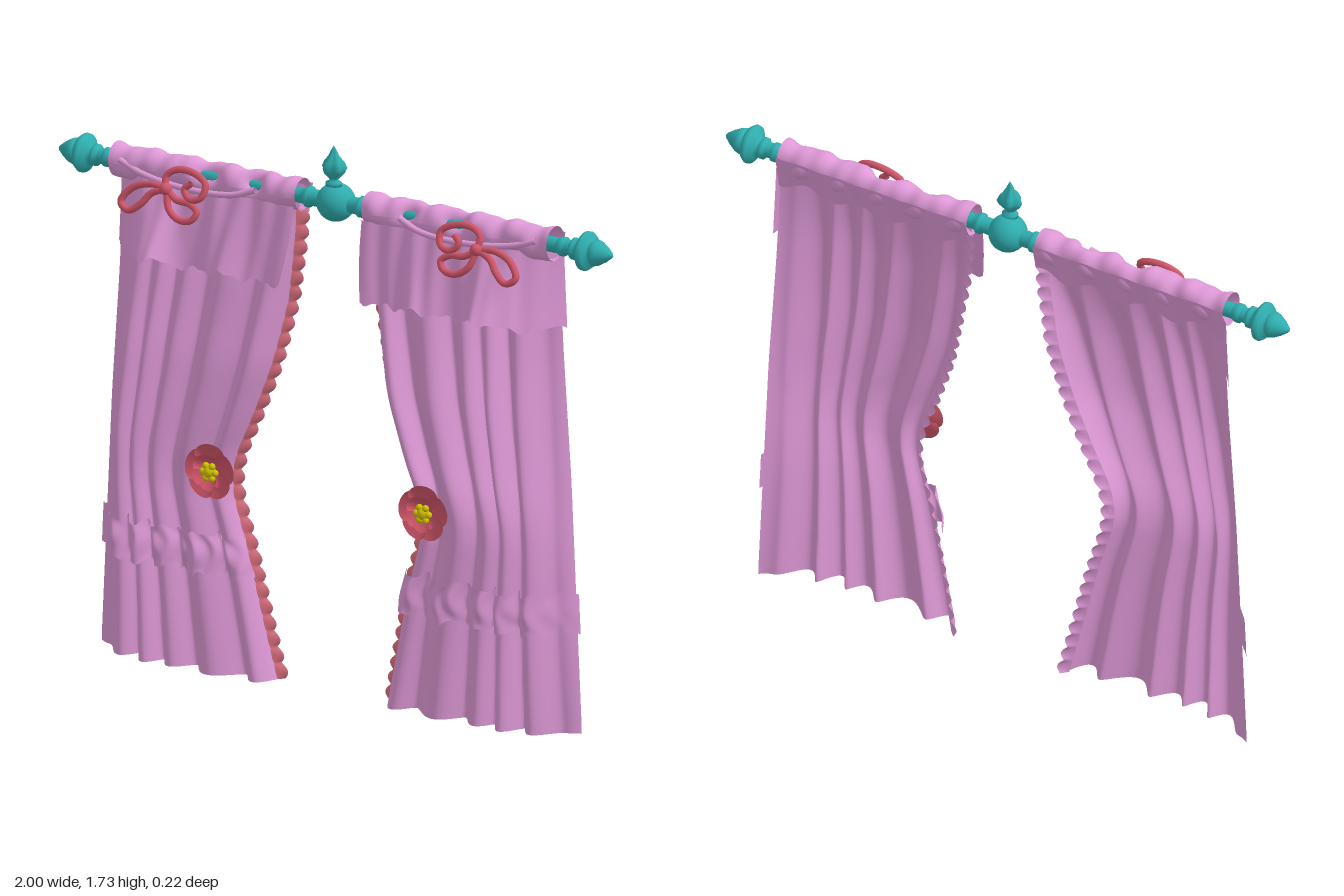
import * as THREE from 'three';

const mat = (name, color, side = THREE.FrontSide) => {
  const m = new THREE.MeshStandardMaterial({ color, side });
  m.name = name;
  return m;
};

// Smoothed lookup in a short list of [y, value] pairs, y falling
function profile(points) {
  const at = (y) => {
    if (y >= points[0][0]) return points[0][1];
    for (let i = 1; i < points.length; i++) {
      const [y0, a] = points[i - 1], [y1, b] = points[i];
      if (y >= y1) return a + (b - a) * (y0 - y) / (y0 - y1);
    }
    return points[points.length - 1][1];
  };
  return (y) => (at(y - 0.04) + at(y) + at(y + 0.04)) / 3;
}

// Grid surface from fn(u, v) -> [x, y, z]
function sheet(nu, nv, fn) {
  const pos = [], index = [];
  for (let j = 0; j <= nv; j++)
    for (let i = 0; i <= nu; i++) pos.push(...fn(i / nu, j / nv));
  for (let j = 0; j < nv; j++)
    for (let i = 0; i < nu; i++) {
      const a = j * (nu + 1) + i, b = a + nu + 1;
      index.push(a, b, a + 1, b, b + 1, a + 1);
    }
  const g = new THREE.BufferGeometry();
  g.setAttribute('position', new THREE.Float32BufferAttribute(pos, 3));
  g.setIndex(index);
  g.computeVertexNormals();
  return g;
}

const { sin, cos, abs, min, max, exp, sqrt, PI } = Math;
const ROD_Y = 1.545, ROD_Z = -0.05;
const bump = (x, centre, width) => exp(-(((x - centre) / width) ** 2));

// Curtain outline, depth and pleat size by height
const inner = profile([[1.5, 0.13], [1.4, 0.135], [1.2, 0.167], [1, 0.212], [0.8, 0.285], [0.7, 0.33], [0.6, 0.347], [0.5, 0.32], [0.4, 0.29], [0.2, 0.245], [0, 0.2], [-0.2, 0.155]]);
const outer = profile([[1.5, 0.785], [1.2, 0.8], [0.8, 0.828], [0.4, 0.847], [0, 0.866]]);
const base = profile([[1.52, -0.045], [1.28, 0], [1, 0.028], [0.7, 0.035], [0.4, 0.018], [0, 0.005]]);
const amp = profile([[1.52, 0.01], [1.28, 0.026], [1, 0.036], [0.75, 0.036], [0.62, 0.026], [0.4, 0.03], [0, 0.038]]);

// Broad rounded folds with narrow grooves
function pleat(u) {
  const w = PI * (5.2 * u + 0.22 * sin(8 * u + 1));
  return 1.9 * sqrt(sin(w) ** 2 + 0.03) - 1.05 + 0.18 * sin(23 * u);
}
const curl = (u, start = 0.75) => max(0, (u - start) / (1 - start)) ** 1.4;

// Both side edges of the cloth turn back
function clothPoint(u, y) {
  const x = inner(y) + (outer(y) - inner(y)) * u;
  const turn = 0.05 * max(0, 1 - u / 0.11) ** 1.3 * min(1, max(0, (1.55 - y) * 3));
  const z = base(y) + amp(y) * pleat(u + 0.012 * sin(4 * y)) - turn;
  return [x, y, z + (-0.082 - z) * curl(u)];
}

export function createModel() {
  const model = new THREE.Group();
  const cloth = mat('pinkCloth', 0xe09ad8, THREE.DoubleSide);
  const lace = mat('roseLace', 0xdf7282);
  const rose = mat('roseRed', 0xd2566a, THREE.DoubleSide);
  const teal = mat('tealMetal', 0x2fadae);
  const yellow = mat('yellowStamen', 0xd2c204);

  const add = (parent, name, geo, material) => {
    const m = new THREE.Mesh(geo, material);
    m.name = name;
    parent.add(m);
    return m;
  };
  const lathe = (pts, n) => new THREE.LatheGeometry(pts.map(([r, y]) => new THREE.Vector2(r, y)), n);

  // Rod, centre ball and its bud
  const rod = new THREE.Group();
  rod.name = 'curtainRod';
  rod.position.set(0, ROD_Y, ROD_Z);
  model.add(rod);
  add(rod, 'pole', new THREE.CylinderGeometry(0.024, 0.024, 1.7, 20), teal).rotation.z = PI / 2;
  add(rod, 'centreBall', new THREE.SphereGeometry(0.06, 28, 20), teal);
  const bud = lathe([[0, 0.05], [0.026, 0.055], [0.026, 0.066], [0.013, 0.072], [0.018, 0.08], [0.036, 0.098], [0.042, 0.112], [0.034, 0.13], [0.018, 0.148], [0.01, 0.165], [0, 0.182]], 32);
  const bp = bud.attributes.position;
  for (let i = 0; i < bp.count; i++) {
    // Twisted flutes on the bud
    const x = bp.getX(i), y = bp.getY(i), z = bp.getZ(i);
    const k = y > 0.075 ? 0.88 + 0.14 * cos(5 * Math.atan2(z, x) + 25 * y) : 1;
    bp.setX(i, x * k);
    bp.setZ(i, z * k * 0.85);
  }
  bud.computeVertexNormals();
  add(rod, 'topBud', bud, teal).position.z = 0.012;

  // Turned rod ends and centre collars
  const endShape = [[0.022, 0.8], [0.03, 0.815], [0.03, 0.828], [0.022, 0.835], [0.024, 0.85], [0.034, 0.858], [0.034, 0.868], [0.025, 0.876], [0.04, 0.884], [0.06, 0.898], [0.061, 0.908], [0.054, 0.918], [0.034, 0.922], [0.034, 0.93], [0.042, 0.936], [0.038, 0.95], [0.024, 0.974], [0.01, 0.992], [0, 1]];
  const collarShape = [[0.026, 0.05], [0.026, 0.084], [0.033, 0.09], [0.033, 0.1], [0.026, 0.106], [0.024, 0.12]];

  for (const s of [-1, 1]) {
    const side = s > 0 ? 'left' : 'right';
    add(rod, side + 'Finial', lathe(endShape, 28), teal).rotation.z = -s * PI / 2;
    add(rod, side + 'Collar', lathe(collarShape, 24), teal).rotation.z = -s * PI / 2;

    const panel = new THREE.Group();
    panel.name = side + 'Curtain';
    model.add(panel);
    const flip = ([x, y, z]) => [s * x, y, z];

    // Pleated main cloth
    add(panel, 'pleatedCloth', sheet(140, 60, (u, v) => flip(clothPoint(u, 1.53 * (1 - v)))), cloth);

    // Gathered pocket round the pole, pinched where the pole shows through
    add(panel, 'rodPocket', sheet(90, 36, (u, v) => {
      const x = 0.12 + 0.67 * u, a = 2 * PI * v;
      const gather = 0.004 * sin(47 * x + 2 * sin(a)) + 0.002 * sin(90 * x);
      const pinch = 0.044 * max(0, cos(a - 0.55)) ** 2 * (bump(x, 0.28, 0.033) + bump(x, 0.44, 0.042));
      const r = 0.049 + gather - pinch;
      return flip([x, ROD_Y + r * sin(a) * 1.05, ROD_Z + r * cos(a)]);
    }), cloth);

    // Scalloped hem flap behind the pocket
    add(panel, 'backFlap', sheet(80, 5, (u, v) => {
      const x = 0.12 + 0.67 * u;
      return flip([x, 1.57 - v * (0.1 + 0.015 * sin(34 * x)), -0.106 + 0.022 * v + 0.002 * sin(47 * x)]);
    }), cloth);

    // Flared valance with three deep folds, wrapped round the outer side
    add(panel, 'valance', sheet(120, 14, (u, v) => {
      const x = inner(1.52 - 0.24 * v) - 0.008 + (outer(1.52 - 0.24 * v) + 0.02 - inner(1.52 - 0.24 * v)) * u;
      const folds = 0.078 * bump(x, 0.6, 0.07) + 0.04 * bump(x, 0.35, 0.08) + 0.012 * bump(x, 0.15, 0.05);
      const y = 1.52 - v * (0.245 - 0.35 * folds + 0.008 * sin(38 * u) + 0.005 * sin(75 * u));
      const z = -0.004 + v * (0.037 + folds) + 0.004 * sin(50 * u) * (1 - 0.5 * v);
      return flip([x, y, z + (-0.09 - z) * curl(u, 0.82)]);
    }), cloth);

    // Gathered ruffle band
    add(panel, 'ruffleBand', sheet(160, 12, (u, v) => {
      const edge = abs(2 * v - 1) ** 3;
      const y = 0.445 - 0.125 * v + edge * (0.007 * sin(55 * u) + 0.004 * sin(97 * u));
      const [x, , z] = clothPoint(u, y);
      const gather = 0.007 * sin(70 * u + 2 * sin(4 * v)) * (0.3 + 0.7 * sin(PI * v)) * (1 - 0.8 * max(0, u - 0.3));
      const puff = 0.013 + 0.012 * sin(PI * v) + 0.008 * edge + gather;
      return flip([x + 0.012 * (2 * u - 1), y, z + puff * (1 - 0.9 * curl(u))]);
    }), cloth);

    // Scalloped lace down the inner edge, lined with cloth behind
    const edging = (depth) => sheet(3, 240, (u, v) => {
      const t = s > 0 ? 1 - u : u, y = 1.5 * (1 - v);
      const [x, , z] = clothPoint(0, y);
      const w = 0.014 + 0.016 * abs(sin(PI * y / 0.05));
      return flip([x + 0.006 - t * (w + 0.006) + depth, y, z + 0.009 - 0.022 * t - depth]);
    });
    add(panel, 'laceTrim', edging(0), lace);
    add(panel, 'laceLining', edging(0.003), cloth);

    // Cord bow, each strand a list of [x, y]
    const bow = new THREE.Group();
    bow.name = 'bow';
    panel.add(bow);
    const cord = (name, pts, r, material, lift = 0) => {
      const path = new THREE.CatmullRomCurve3(pts.map(([x, y]) =>
        new THREE.Vector3(s * x, y, 0.06 + lift - (y - 1.42) * 0.36)));
      add(bow, name, new THREE.TubeGeometry(path, 60, r, 8), material);
    };
    cord('outerLoop', [[0.56, 1.51], [0.62, 1.515], [0.68, 1.495], [0.712, 1.45], [0.68, 1.43], [0.64, 1.455], [0.61, 1.49], [0.56, 1.51]], 0.011, rose);
    cord('lowerCurl', [[0.56, 1.51], [0.54, 1.455], [0.5, 1.43], [0.455, 1.435], [0.44, 1.46], [0.47, 1.48], [0.52, 1.485], [0.56, 1.51]], 0.011, rose);
    cord('upperCurl', [[0.56, 1.51], [0.565, 1.55], [0.53, 1.572], [0.47, 1.57], [0.425, 1.545], [0.432, 1.505], [0.47, 1.495], [0.495, 1.52], [0.475, 1.54]], 0.011, rose, 0.006);
    const knot = add(bow, 'knot', new THREE.SphereGeometry(0.02, 14, 10), rose);
    knot.position.set(s * 0.56, 1.512, 0.034);
    cord('clothTie', [[0.26, 1.55], [0.33, 1.525], [0.43, 1.515], [0.57, 1.52], [0.67, 1.535], [0.75, 1.56]], 0.01, cloth, -0.016);

    // Tieback flower
    const flower = new THREE.Group();
    flower.name = 'flower';
    flower.position.set(s > 0 ? 0.4 : -0.37, 0.66, 0.06);
    panel.add(flower);
    for (const [ring, size, lift, turn] of [['outerPetal', 0.088, 0.022, 0.31], ['innerPetal', 0.058, 0.032, 0.94]])
      for (let k = 0; k < 5; k++) {
        // Broad rounded petals, each overlapping its neighbour
        const petal = add(flower, ring, sheet(14, 8, (u, v) => {
          const t = 2 * u - 1, r = size * v * (1 - 0.16 * t ** 4 - 0.06 * t * t), a = 0.82 * t;
          return [r * cos(a), r * sin(a), 0.002 + lift * v * v + 0.006 * t * v];
        }), rose);
        petal.rotation.z = turn + k * 2 * PI / 5;
      }
    add(flower, 'stamenCentre', new THREE.SphereGeometry(0.02, 14, 10), yellow).position.z = 0.022;
    for (let k = 0; k < 6; k++) {
      const a = k * PI / 3;
      add(flower, 'stamen', new THREE.SphereGeometry(0.011, 10, 8), yellow)
        .position.set(0.022 * cos(a), 0.022 * sin(a), 0.026);
    }
  }
  return model;
}
